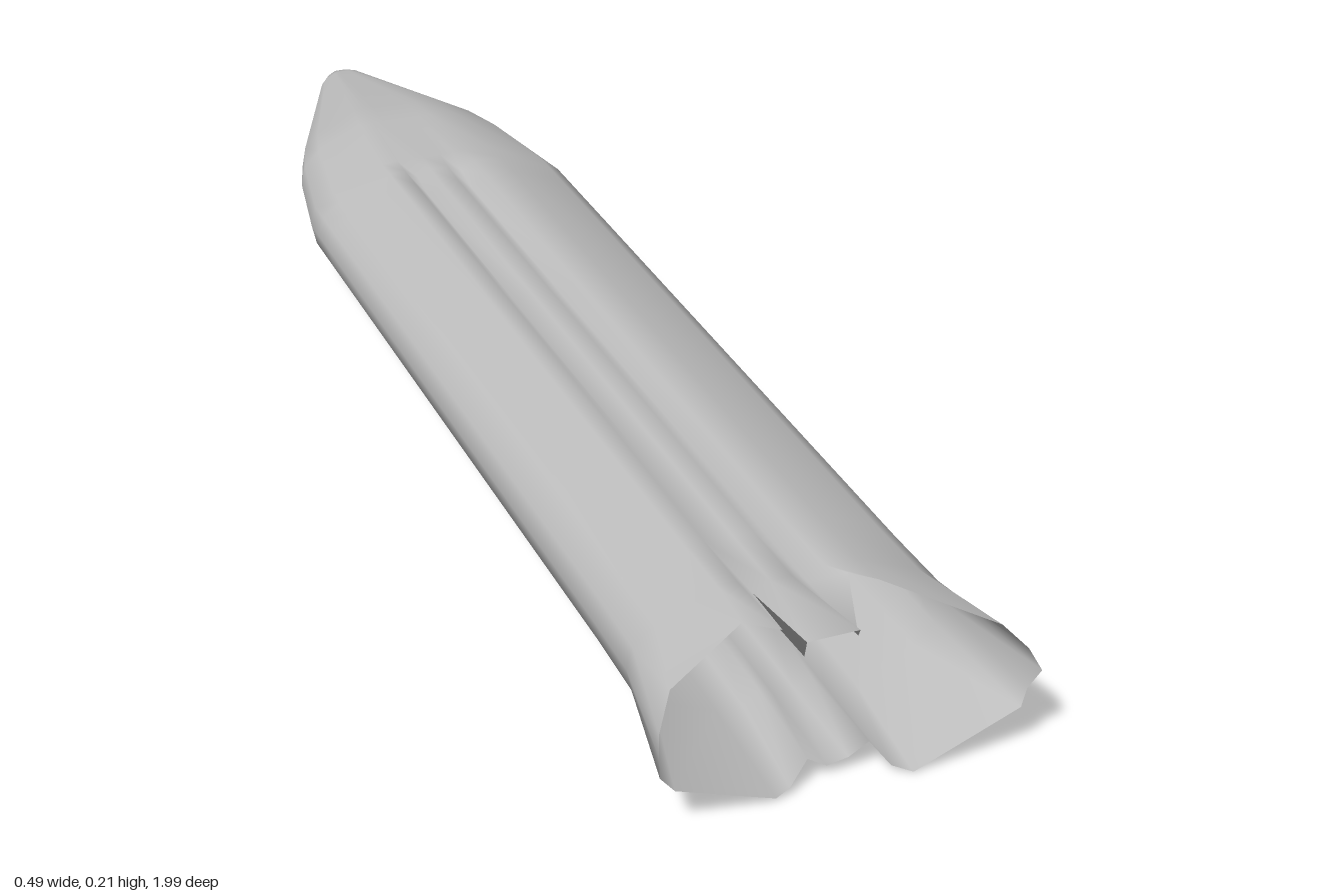
import * as THREE from 'three';

const MID_Y = 0.11;

// One quarter of the hull section: [x, height above the middle, share of groove depth]
const QUARTER = [
  [0.205, 0, 0], [0.198, 0.03, 0], [0.17, 0.053, 0], [0.09, 0.084, 0],
  [0.055, 0.087, 0], [0.035, 0.087, 1], [0.014, 0.087, 0.3],
];

// Full loop: +x side, over the top, -x side, under the bottom (26 points)
function section({ z, sx = 1, sy = 1, y = MID_Y, groove = 0, slant = 0 }) {
  const loop = [];
  const add = (i, side, up) => {
    const [x, h, g] = QUARTER[i];
    const shift = up > 0 && i > 3 ? -0.011 : 0;
    const px = (side * x + shift) * sx - 0.004;
    const py = y + up * (h * sy - g * groove);
    loop.push([px, py, z + slant * (py - y)]);
  };
  for (let i = 0; i <= 6; i++) add(i, 1, 1);
  for (let i = 6; i >= 0; i--) add(i, -1, 1);
  for (let i = 1; i <= 6; i++) add(i, -1, -1);
  for (let i = 6; i >= 1; i--) add(i, 1, -1);
  return loop;
}

// Ragged, flared open rim in the same order as the section loop
const RIM = [
  [0.24, 0.115, 0.99], [0.232, 0.135, 0.97], [0.212, 0.154, 0.94], [0.09, 0.194, 0.855],
  [0.06, 0.198, 0.835], [0.028, 0.176, 0.93], [0.012, 0.209, 0.965],
  [-0.055, 0.208, 0.965], [-0.05, 0.178, 0.95], [-0.064, 0.199, 0.92], [-0.1, 0.195, 0.885],
  [-0.205, 0.154, 0.925], [-0.243, 0.142, 0.985], [-0.245, 0.115, 0.99],
  [-0.243, 0.085, 0.99], [-0.222, 0.059, 0.985], [-0.09, 0.007, 0.975], [-0.07, 0.014, 0.97],
  [-0.042, 0.037, 0.955], [-0.014, 0.017, 0.95],
  [0.014, 0.022, 0.95], [0.037, 0.042, 0.955], [0.06, 0.012, 0.97], [0.085, 0.003, 0.98],
  [0.219, 0.065, 0.985], [0.225, 0.09, 0.985],
];

// Skin the loops from tip to rim and close the tip with a fan
function loft(loops) {
  const n = loops[0].length;
  const points = loops.flat();
  const index = [];
  for (let r = 0; r < loops.length - 1; r++) {
    for (let i = 0; i < n; i++) {
      const j = (i + 1) % n;
      const a = r * n + i, b = r * n + j, c = a + n, d = b + n;
      index.push(a, c, b, b, c, d);
    }
  }
  const centre = [0, 1, 2].map((k) => loops[0].reduce((s, p) => s + p[k], 0) / n);
  const tip = points.length;
  points.push(centre);
  for (let i = 0; i < n; i++) index.push(tip, i, (i + 1) % n);
  const geometry = new THREE.BufferGeometry();
  geometry.setAttribute('position', new THREE.Float32BufferAttribute(points.flat(), 3));
  geometry.setIndex(index);
  geometry.computeVertexNormals();
  return geometry;
}

export function createModel() {
  const grey = new THREE.MeshStandardMaterial({ color: 0xbcbcbc, side: THREE.DoubleSide });
  grey.name = 'plain grey';

  const loops = [
    // Blunt slanted tip and tapering nose
    section({ z: -0.988, sx: 0.12, sy: 0.25, y: 0.117, slant: 0.45 }),
    section({ z: -0.96, sx: 0.2, sy: 0.36, y: 0.115, slant: 0.2 }),
    section({ z: -0.69, sx: 0.75, sy: 0.97 }),
    section({ z: -0.62, sx: 0.86 }),
    section({ z: -0.47 }),
    // Straight body with twin grooves above and below
    section({ z: -0.43, groove: 0.014 }),
    section({ z: -0.38, groove: 0.022 }),
    section({ z: 0, groove: 0.022 }),
    section({ z: 0.45, groove: 0.02 }),
    section({ z: 0.7, groove: 0.02 }),
    section({ z: 0.81, groove: 0.02, sx: 1.01, sy: 1.02 }),
    RIM,
  ];

  const hull = new THREE.Mesh(loft(loops), grey);
  hull.name = 'hollowGroovedHull';

  const model = new THREE.Group();
  model.name = 'pointedSheath';
  model.add(hull);
  return model;
}
